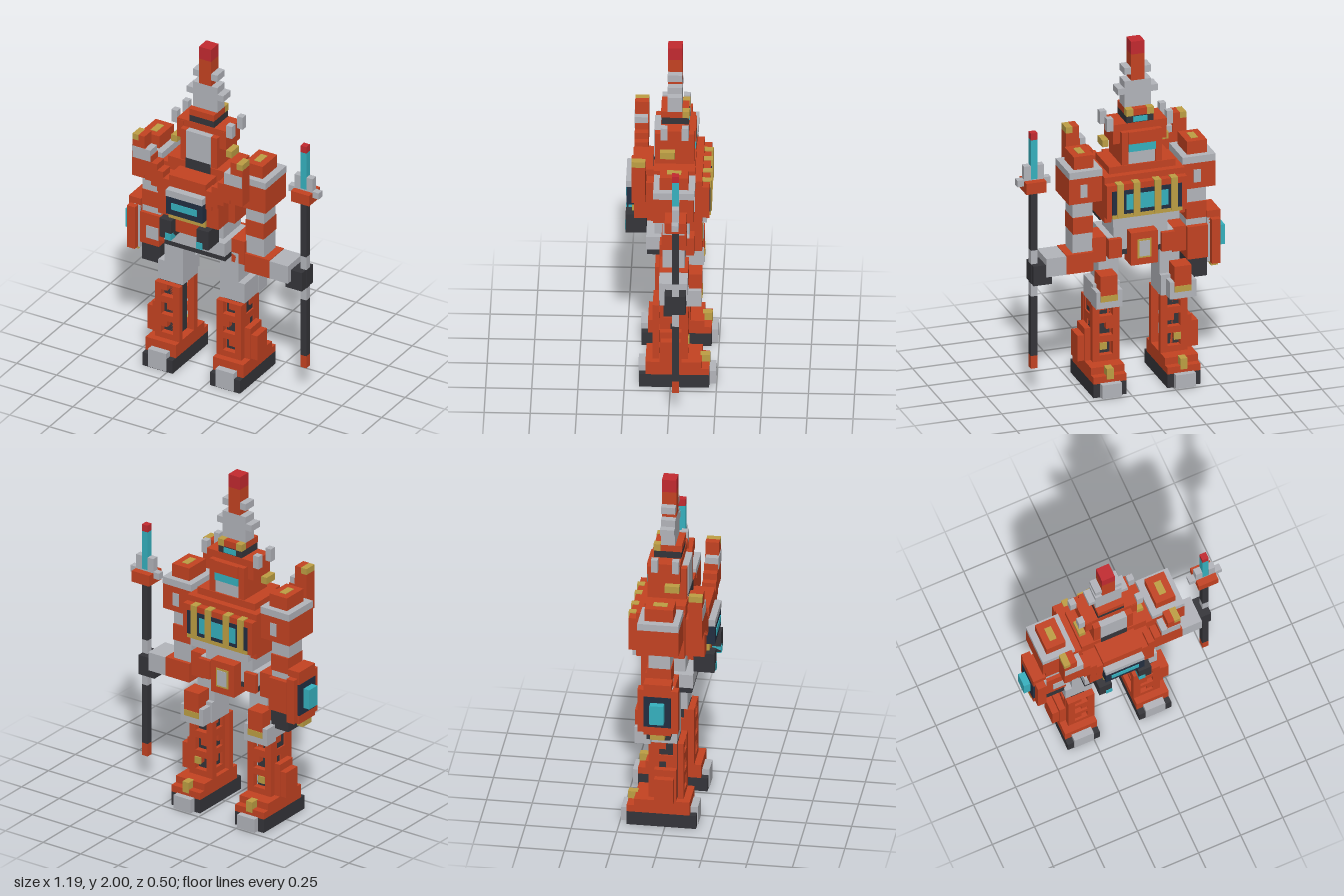
import * as THREE from 'three';

const mat = (name, color) => Object.assign(new THREE.MeshStandardMaterial({ color }), { name });
const red = mat('armour orange red', 0xc54322), grey = mat('light grey', 0xb4b6bc);
const dark = mat('charcoal', 0x35353a), teal = mat('teal glow', 0x36b2c0);
const gold = mat('dull gold', 0xbfa044), crimson = mat('crimson', 0xc42a30);
const navy = mat('navy glass', 0x232f42);

// Box from its low and high limits on each axis
function box(parent, name, m, x0, x1, y0, y1, z0, z1) {
  const mesh = new THREE.Mesh(new THREE.BoxGeometry(x1 - x0, y1 - y0, z1 - z0), m);
  mesh.position.set((x0 + x1) / 2, (y0 + y1) / 2, (z0 + z1) / 2);
  mesh.name = name;
  parent.add(mesh);
  return mesh;
}
// The same box on both sides of x = 0
function pair(parent, name, m, x0, x1, ...r) {
  box(parent, name + 'Left', m, x0, x1, ...r);
  box(parent, name + 'Right', m, -x1, -x0, ...r);
}
function group(parent, name, x = 0) {
  const g = new THREE.Group();
  g.name = name;
  g.position.x = x;
  parent.add(g);
  return g;
}

const V = 0.0377; // block size

// Shin wall with stepped cut-outs, standing in the xy plane
function shinWall(width, flip) {
  const s = new THREE.Shape();
  s.moveTo(-width / 2, 0.16).lineTo(width / 2, 0.16).lineTo(width / 2, 0.5).lineTo(-width / 2, 0.5);
  // each cut is a two-block bar with one more block above one end
  for (const [y, side] of [[0.423, -1], [0.308, 1], [0.195, -1]]) {
    const d = side * flip, h = new THREE.Path();
    h.moveTo(-V * d, y).lineTo(V * d, y).lineTo(V * d, y + 2 * V).lineTo(0, y + 2 * V).lineTo(0, y + V).lineTo(-V * d, y + V);
    s.holes.push(h);
  }
  return new THREE.ExtrudeGeometry(s, { depth: V * 0.9, bevelEnabled: false });
}

// Leg, with local +x pointing outwards when out = 1
function leg(parent, out) {
  const g = group(parent, out > 0 ? 'leftLeg' : 'rightLeg', out * 0.212);
  const side = (name, m, x0, x1, ...r) => box(g, name, m, Math.min(out * x0, out * x1), Math.max(out * x0, out * x1), ...r);
  // foot
  box(g, 'sole', dark, -0.095, 0.095, 0, 0.08, -0.21, 0.17);
  box(g, 'footArmour', red, -0.095, 0.095, 0.08, 0.12, -0.21, 0.135);
  box(g, 'footUpper', red, -0.095, 0.095, 0.12, 0.16, -0.17, 0.135);
  box(g, 'heel', grey, -0.057, 0.057, 0.005, 0.115, 0.13, 0.175);
  box(g, 'toe', grey, -0.057, 0.057, 0.003, 0.083, -0.245, -0.17);
  box(g, 'toeMark', gold, -0.02, 0.02, 0.1, 0.163, -0.213, -0.16);
  // shin: dark core inside four pierced walls
  box(g, 'shinCore', dark, -0.05, 0.05, 0.16, 0.5, -0.06, 0.06);
  for (const [i, [w, x, z, turn, flip]] of [
    [0.155, -out * 0.018, 0.063, 0, out], [0.155, -out * 0.018, -0.06, Math.PI, -out],
    [0.12, 0.025 - (out > 0 ? 0 : 0.01), 0, Math.PI / 2, 1], [0.12, -0.025 + (out < 0 ? 0 : -0.01), 0, -Math.PI / 2, -1],
  ].entries()) {
    const m = new THREE.Mesh(shinWall(w, flip), red);
    m.name = 'shinWall' + i;
    m.rotation.y = turn;
    m.position.set(x, 0, z);
    g.add(m);
  }
  side('ankleGuard', red, 0.06, 0.095, 0.16, 0.35, -0.06, 0.06);
  side('calfFin', red, 0.09, 0.133, 0.16, 0.31, -0.055, 0.05);
  box(g, 'shinMark', gold, -0.02, 0.02, 0.23, 0.27, -0.101, -0.09);
  // knee
  side('knee', grey, -0.095, 0.06, 0.5, 0.62, -0.1, 0.06);
  box(g, 'kneeGuard', grey, -0.085, 0.065, 0.5, 0.6, -0.168, -0.08);
  box(g, 'kneeCap', red, -0.057, 0.04, 0.575, 0.69, -0.17, -0.07);
  box(g, 'kneeTrim', gold, -0.057, 0.04, 0.54, 0.575, -0.173, -0.1);
  // thigh
  side('thigh', grey, -0.095, 0.02, 0.6, 0.8, -0.075, 0.06);
}

// Upper arm and shoulder, shared by both arms
function shoulder(g, out) {
  const cx = out * 0.325;
  box(g, 'shoulderPad', red, cx - 0.095, cx + 0.095, 1.12, 1.27, -0.13, 0.09);
  box(g, 'shoulderTrim', grey, cx - 0.095, cx + 0.095, 1.27, 1.31, -0.135, 0.09);
  box(g, 'shoulderKnob', red, cx - 0.057, cx + 0.057, 1.31, 1.385, -0.1, 0.055);
  box(g, 'knobGem', gold, cx - 0.02, cx + 0.02, 1.38, 1.388, -0.06, 0.018);
  box(g, 'padVent', grey, cx - 0.01, cx + 0.03, 1.155, 1.23, -0.134, -0.125);
  box(g, 'upperArm', grey, cx - 0.057, cx + 0.057, 1.02, 1.12, -0.08, 0.04);
  box(g, 'elbowBand', red, cx - 0.057, cx + 0.057, 0.925, 1.02, -0.09, 0.045);
  box(g, 'elbow', grey, cx - 0.057, cx + 0.057, 0.81, 0.925, -0.08, 0.04);
}

export function createModel() {
  const root = new THREE.Group();
  root.name = 'robot';
  const body = group(root, 'body', -0.098);
  leg(body, 1);
  leg(body, -1);

  // hips and skirt plates
  const hips = group(body, 'hips');
  box(hips, 'pelvis', grey, -0.19, 0.19, 0.805, 0.885, -0.1, 0.135);
  box(hips, 'belt', dark, -0.19, 0.19, 0.775, 0.805, -0.1, 0.13);
  box(hips, 'crotch', dark, -0.04, 0.04, 0.73, 0.78, -0.06, 0.04);
  pair(hips, 'sideSkirt', red, 0.19, 0.27, 0.74, 0.885, -0.08, 0.06);
  box(hips, 'frontFlap', red, -0.077, 0.077, 0.73, 0.92, -0.165, -0.06);
  box(hips, 'flapFrame', gold, -0.04, 0.04, 0.77, 0.88, -0.169, -0.16);
  box(hips, 'flapPlate', grey, -0.03, 0.03, 0.78, 0.87, -0.172, -0.163);
  pair(hips, 'frontSkirt', red, 0.115, 0.19, 0.77, 0.88, -0.125, -0.08);

  // torso and chest window
  const torso = group(body, 'torso');
  box(torso, 'abdomen', grey, -0.155, 0.155, 0.885, 1.01, -0.1, 0.09);
  box(torso, 'trunk', red, -0.23, 0.23, 1.005, 1.27, -0.17, 0.095);
  box(torso, 'collar', red, -0.19, 0.19, 1.27, 1.31, -0.13, 0.095);
  box(torso, 'chest', red, -0.23, 0.23, 1.04, 1.235, -0.21, -0.16);
  box(torso, 'chestSill', grey, -0.19, 0.19, 0.985, 1.04, -0.195, -0.1);
  box(torso, 'chestGlass', navy, -0.2, 0.2, 1.06, 1.2, -0.214, -0.206);
  box(torso, 'chestGlow', teal, -0.12, 0.12, 1.085, 1.175, -0.217, -0.21);
  for (const x of [0.06, 0.155]) {
    pair(torso, 'chestStrut', gold, x - 0.019, x + 0.019, 1.05, 1.24, -0.22, -0.165);
  }
  box(torso, 'chestTrim', gold, -0.2, 0.2, 1.04, 1.062, -0.216, -0.19);
  box(torso, 'neck', dark, -0.077, 0.077, 1.27, 1.33, -0.06, 0.098);

  // backpack
  const pack = group(body, 'backpack');
  box(pack, 'packCore', red, -0.19, 0.19, 1.005, 1.23, 0.09, 0.2);
  box(pack, 'packTop', red, -0.115, 0.115, 1.2, 1.27, 0.09, 0.212);
  box(pack, 'packBase', red, -0.08, 0.08, 0.92, 1.005, 0.09, 0.2);
  box(pack, 'packRidge', grey, -0.115, 0.115, 1.155, 1.195, 0.2, 0.247);
  box(pack, 'packGlass', navy, -0.115, 0.115, 1.045, 1.155, 0.2, 0.245);
  box(pack, 'packGlow', teal, -0.08, 0.08, 1.08, 1.12, 0.24, 0.249);
  box(pack, 'packTrim', gold, -0.115, 0.115, 1.005, 1.045, 0.19, 0.215);
  pair(pack, 'nozzle', dark, 0.08, 0.154, 0.89, 1.005, 0.135, 0.248);
  pair(pack, 'nozzleGlow', teal, 0.08, 0.116, 0.885, 0.925, 0.2, 0.252);
  // stepped wings rising outwards
  for (let i = 0; i < 5; i++) {
    const x = 0.115 + i * V;
    pair(pack, 'wingStep', red, x, x + V, 1.12 + i * 0.025, 1.235 + i * 0.0375, 0.135, 0.21);
  }
  pair(pack, 'booster', red, 0.27, 0.345, 1.2, 1.425, 0.135, 0.21);
  pair(pack, 'boosterTip', red, 0.27, 0.308, 1.425, 1.46, 0.135, 0.21);
  pair(pack, 'boosterLamp', gold, 0.308, 0.345, 1.425, 1.46, 0.135, 0.21);
  pair(pack, 'boosterBand', grey, 0.232, 0.343, 1.315, 1.385, 0.14, 0.213);

  // head
  const head = group(body, 'head');
  box(head, 'skull', red, -0.115, 0.115, 1.35, 1.5, -0.095, 0.06);
  box(head, 'jaw', grey, -0.08, 0.08, 1.31, 1.385, -0.12, 0.06);
  box(head, 'nape', grey, -0.077, 0.077, 1.31, 1.5, 0.05, 0.095);
  pair(head, 'cheek', red, 0.077, 0.115, 1.31, 1.5, -0.125, 0.09);
  pair(head, 'temple', red, 0.115, 0.154, 1.425, 1.53, -0.09, 0.06);
  box(head, 'visor', teal, -0.077, 0.077, 1.385, 1.43, -0.132, -0.09);
  box(head, 'brow', red, -0.077, 0.077, 1.43, 1.5, -0.132, -0.09);
  box(head, 'helmet', red, -0.154, 0.154, 1.5, 1.54, -0.095, 0.058);
  box(head, 'helmetBand', dark, -0.077, 0.077, 1.54, 1.58, -0.093, 0.055);
  box(head, 'helmetBandGlow', teal, -0.04, 0.04, 1.545, 1.575, -0.098, -0.09);
  box(head, 'helmetCap', red, -0.077, 0.077, 1.58, 1.618, -0.093, 0.058);
  pair(head, 'capStud', gold, 0.04, 0.079, 1.58, 1.62, -0.097, -0.058);
  pair(head, 'earLamp', gold, 0.154, 0.19, 1.385, 1.425, -0.02, 0.06);
  pair(head, 'earFin', grey, 0.154, 0.19, 1.505, 1.58, 0.02, 0.058);
  pair(head, 'earFinFront', grey, 0.154, 0.19, 1.505, 1.58, -0.095, -0.058);
  // crest
  box(head, 'crestBase', grey, -0.077, 0.077, 1.618, 1.695, -0.057, 0.022);
  box(head, 'crestBar', grey, -0.115, 0.115, 1.695, 1.732, -0.057, 0.022);
  box(head, 'crestNeck', grey, -0.077, 0.077, 1.732, 1.772, -0.057, 0.022);
  box(head, 'crestSpike', red, -0.038, 0.038, 1.772, 1.925, -0.057, 0.022);
  box(head, 'crestTip', crimson, -0.038, 0.038, 1.925, 2, -0.057, 0.022);
  pair(head, 'crestBarb', grey, 0.038, 0.077, 1.81, 1.85, -0.057, 0.022);

  // right arm, hanging, with shield
  const armR = group(body, 'rightArm');
  shoulder(armR, -1);
  box(armR, 'forearm', red, -0.385, -0.268, 0.695, 0.885, -0.11, 0.06);
  box(armR, 'forearmPlate', grey, -0.345, -0.27, 0.735, 0.81, 0.055, 0.064);
  box(armR, 'hand', dark, -0.385, -0.27, 0.58, 0.695, -0.09, 0.04);
  const shield = group(armR, 'shield');
  box(shield, 'shieldBack', grey, -0.425, -0.385, 0.66, 0.92, -0.095, 0.06);
  box(shield, 'shieldTop', red, -0.46, -0.385, 0.885, 0.96, -0.095, 0.055);
  box(shield, 'shieldBottom', red, -0.46, -0.42, 0.65, 0.7, -0.095, 0.055);
  box(shield, 'shieldFoot', gold, -0.46, -0.42, 0.62, 0.65, -0.06, 0.02);
  for (const z of [-0.13, 0.055]) box(shield, 'shieldEdge', red, -0.45, -0.4, 0.66, 0.92, z, z + V);
  box(shield, 'shieldFace', navy, -0.462, -0.42, 0.7, 0.885, -0.095, 0.055);
  box(shield, 'shieldGem', teal, -0.5, -0.46, 0.735, 0.85, -0.057, 0.02);

  // left arm, reaching out
  const armL = group(body, 'leftArm');
  shoulder(armL, 1);
  box(armL, 'forearm', red, 0.268, 0.425, 0.7, 0.812, -0.1, 0.055);
  box(armL, 'wrist', grey, 0.425, 0.54, 0.7, 0.808, -0.1, 0.055);
  box(armL, 'hand', dark, 0.505, 0.61, 0.655, 0.77, -0.093, 0.022);

  // staff: stacked sections, then guard and prongs
  const staff = group(root, 'staff');
  for (const [name, m, y0, y1] of [
    ['staffFoot', red, 0.155, 0.23], ['shaftLow', dark, 0.23, 0.58], ['ringLow', grey, 0.58, 0.655],
    ['grip', dark, 0.655, 0.77], ['ringHigh', grey, 0.77, 0.85], ['shaftHigh', dark, 0.85, 1.2],
    ['blade', teal, 1.27, 1.5], ['bladeTip', crimson, 1.5, 1.54],
  ]) box(staff, name, m, 0.478, 0.515, y0, y1, -0.057, -0.019);
  box(staff, 'guard', red, 0.44, 0.555, 1.2, 1.265, -0.097, 0.02);
  box(staff, 'guardBar', grey, 0.402, 0.593, 1.235, 1.273, -0.057, -0.019);
  for (const x of [0.44, 0.516]) box(staff, 'prong', grey, x, x + V, 1.27, 1.35, -0.057, -0.019);
  return root;
}
